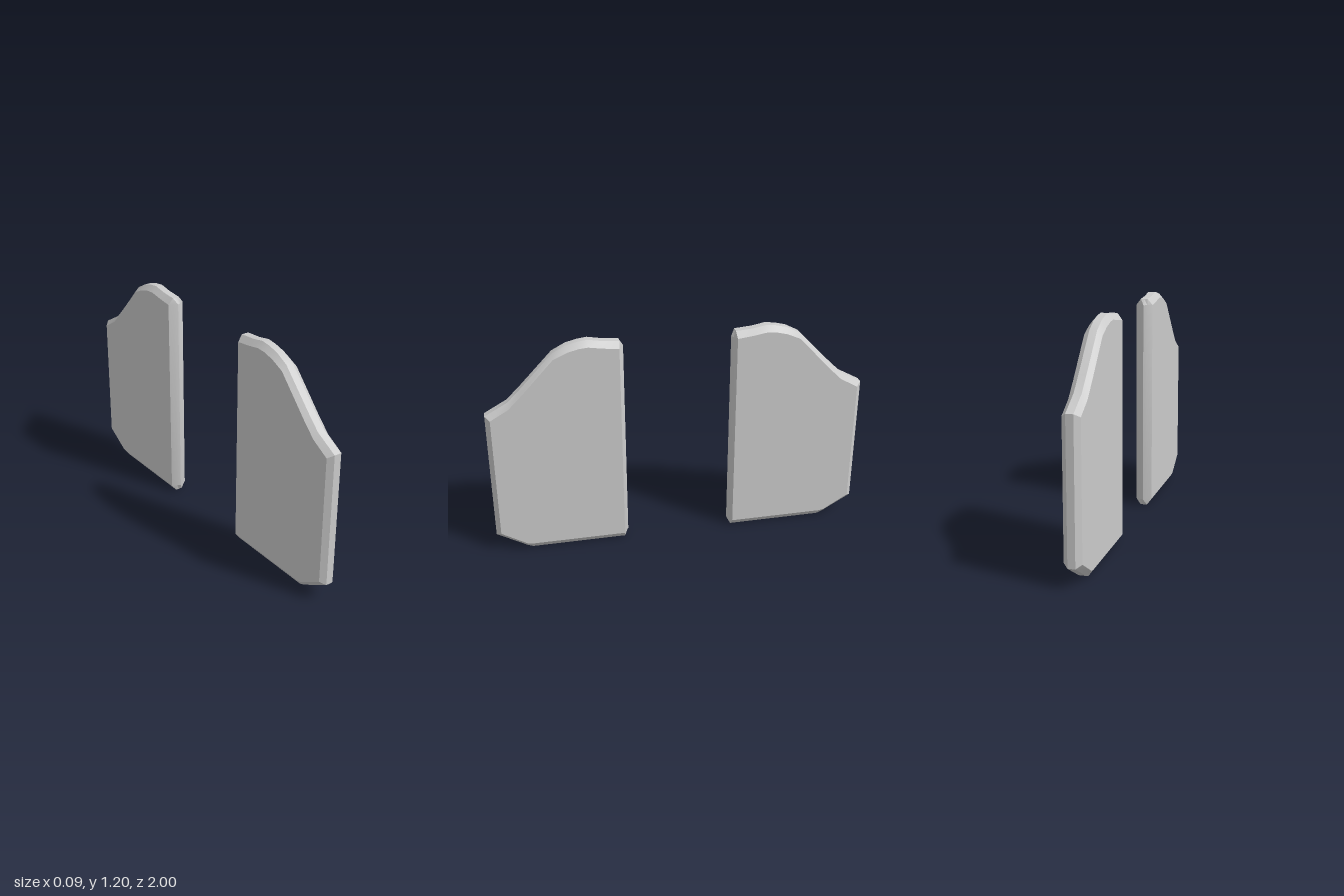
import * as THREE from 'three';
import { toCreasedNormals } from 'three/addons/utils/BufferGeometryUtils.js';

// Outline of one panel, anticlockwise in (z, y): [face z, face y, rim z, rim y, ridge z]
const outline = [
  [0.305, 0.035, 0.30, 0, 0.30],
  [0.81, 0.035, 0.81, 0, 0.81],
  [0.84, 0.04, 0.84, 0.012, 0.84],
  [0.975, 0.122, 1, 0.106, 1],
  [0.975, 0.81, 1, 0.828, 1],
  [0.88, 0.865, 0.88, 0.895, 0.88],
  [0.81, 0.935, 0.81, 0.965, 0.81],
  [0.64, 1.12, 0.64, 1.145, 0.64],
  [0.57, 1.152, 0.57, 1.182, 0.57],
  [0.51, 1.168, 0.51, 1.197, 0.51],
  [0.46, 1.172, 0.46, 1.203, 0.46],
  [0.39, 1.16, 0.39, 1.19, 0.39],
  [0.305, 1.15, 0.30, 1.183, 0.30],
  [0.305, 1.15, 0.29, 1.15, 0.28],
  [0.305, 0.035, 0.29, 0.035, 0.28],
];

function panelGeometry() {
  const face = 0.045, rim = 0.019, n = outline.length;
  // Five loops across the thickness: face, rim, ridge, rim, face
  const loops = [
    outline.map(p => [face, p[1], p[0]]),
    outline.map(p => [rim, p[3], p[2]]),
    outline.map(p => [0, p[3], p[4]]),
    outline.map(p => [-rim, p[3], p[2]]),
    outline.map(p => [-face, p[1], p[0]]),
  ];
  const pos = [];
  const tri = (a, b, c) => {
    const [u, v, w] = [a, b, c].map(p => new THREE.Vector3(...p));
    if (v.sub(u).cross(w.sub(u)).length() > 1e-9) pos.push(...a, ...b, ...c);
  };

  // Bevelled edge all round
  for (let k = 0; k < loops.length - 1; k++) {
    for (let i = 0; i < n; i++) {
      const j = (i + 1) % n;
      const a = loops[k][i], b = loops[k][j], c = loops[k + 1][j], d = loops[k + 1][i];
      tri(a, b, c);
      tri(a, c, d);
    }
  }

  // Flat faces on both sides (the last two points repeat corners)
  const flat = outline.slice(0, n - 2).map(p => new THREE.Vector2(p[0], p[1]));
  for (const [a, b, c] of THREE.ShapeUtils.triangulateShape(flat, [])) {
    tri(loops[0][a], loops[0][c], loops[0][b]);
    tri(loops[4][a], loops[4][b], loops[4][c]);
  }

  const geo = new THREE.BufferGeometry();
  geo.setAttribute('position', new THREE.Float32BufferAttribute(pos, 3));
  return toCreasedNormals(geo, Math.PI / 7);
}

export function createModel() {
  const group = new THREE.Group();
  const material = new THREE.MeshStandardMaterial({ color: 0xcccccc });
  const geometry = panelGeometry();

  // Two matching panels, inner edges facing each other
  const frontPanel = new THREE.Mesh(geometry, material);
  frontPanel.name = 'frontPanel';
  const backPanel = new THREE.Mesh(geometry, material);
  backPanel.name = 'backPanel';
  backPanel.rotation.y = Math.PI;

  group.add(frontPanel, backPanel);
  return group;
}
